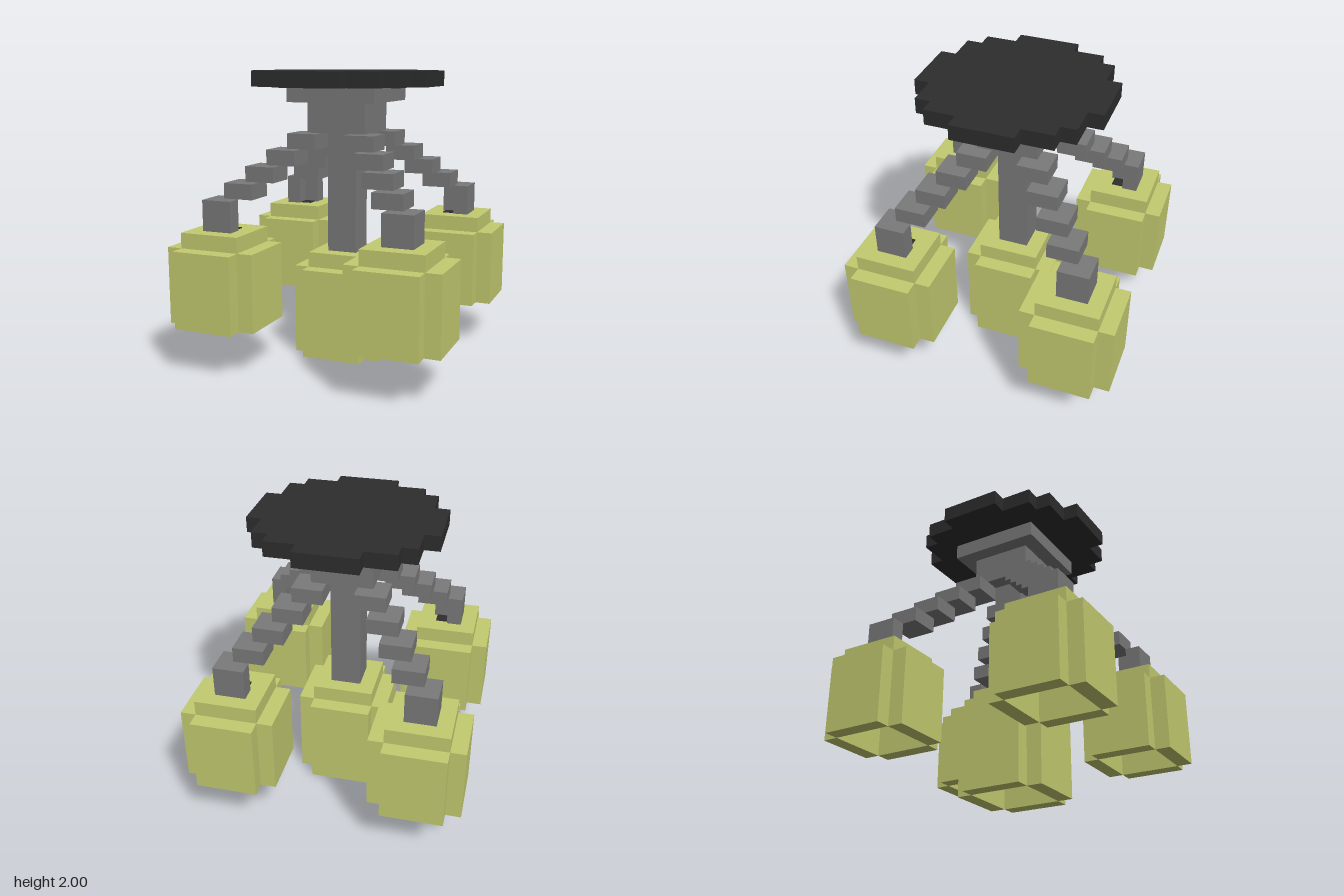
import * as THREE from 'three';

const U = 2 / 19; // one block of the model's grid

const metal = new THREE.MeshStandardMaterial({ color: 0x7a7a7a });
metal.name = 'grey metal';
const shadeMat = new THREE.MeshStandardMaterial({ color: 0xc4cb70 });
shadeMat.name = 'yellow green shade';
const black = new THREE.MeshStandardMaterial({ color: 0x2d2d2d });
black.name = 'black';

// Box given by its opposite corners in grid units
function box(parent, name, mat, [x0, y0, z0], [x1, y1, z1]) {
  const geo = new THREE.BoxGeometry((x1 - x0) * U, (y1 - y0) * U, (z1 - z0) * U);
  const mesh = new THREE.Mesh(geo, mat);
  mesh.position.set((x0 + x1) * U / 2, (y0 + y1) * U / 2, (z0 + z1) * U / 2);
  mesh.name = name;
  parent.add(mesh);
}

// Hollow shade, open below: four side panels under a square cap
function addShade(parent, cx, cz, y0, y1) {
  const shade = new THREE.Group();
  shade.name = 'lampShade';
  shade.position.set(cx * U, 0, cz * U);
  for (const s of [-2.5, 2.5]) {
    box(shade, 'sidePanel', shadeMat, [s - 0.5, y0, -2], [s + 0.5, y1, 2]);
    box(shade, 'endPanel', shadeMat, [-2, y0, s - 0.5], [2, y1, s + 0.5]);
  }
  box(shade, 'shadeCap', shadeMat, [-2, y1, -2], [2, y1 + 1, 2]);
  parent.add(shade);
}

// Stepped diagonal arm with its lamp, built towards +x +z
function makeArm() {
  const arm = new THREE.Group();
  arm.name = 'lampArm';
  for (let i = 1; i <= 4; i++) {
    box(arm, 'armStep', metal, [i, 15 - i, i], [i + 2, 16 - i, i + 2]);
  }
  // L-shaped stem, open at its inner corner
  box(arm, 'lampStem', metal, [6, 9, 5], [7, 11, 7]);
  box(arm, 'lampStem', metal, [5, 9, 6], [6, 11, 7]);
  box(arm, 'cableHole', black, [5.2, 9, 5.2], [6, 9.05, 6]);
  addShade(arm, 6, 6, 3, 8);
  return arm;
}

// Stepped round plate outline, repeated by quarter turns
function ceilingPlate() {
  const quarter = [[6, -2], [6, 2], [5, 2], [5, 4], [4, 4], [4, 5], [2, 5]];
  const pts = [];
  for (let q = 0; q < 4; q++) {
    for (const [x, y] of quarter) {
      const p = new THREE.Vector2(x * U, y * U);
      pts.push(p.rotateAround(new THREE.Vector2(), q * Math.PI / 2));
    }
  }
  const geo = new THREE.ExtrudeGeometry(new THREE.Shape(pts), { depth: U, bevelEnabled: false });
  geo.rotateX(-Math.PI / 2);
  const mesh = new THREE.Mesh(geo, black);
  mesh.position.y = 18 * U;
  mesh.name = 'ceilingPlate';
  return mesh;
}

export function createModel() {
  const model = new THREE.Group();
  model.name = 'chandelier';

  // Ceiling mount and central column
  model.add(ceilingPlate());
  box(model, 'mountCollar', metal, [-3, 17, -3], [3, 18, 3]);
  box(model, 'mountNeck', metal, [-2, 15, -2], [2, 17, 2]);
  box(model, 'centralColumn', metal, [-1, 7, -1], [1, 15, 1]);
  addShade(model, 0, 0, 0, 6);

  // Four corner arms
  for (let q = 0; q < 4; q++) {
    const arm = makeArm();
    arm.rotation.y = q * Math.PI / 2;
    model.add(arm);
  }
  return model;
}
